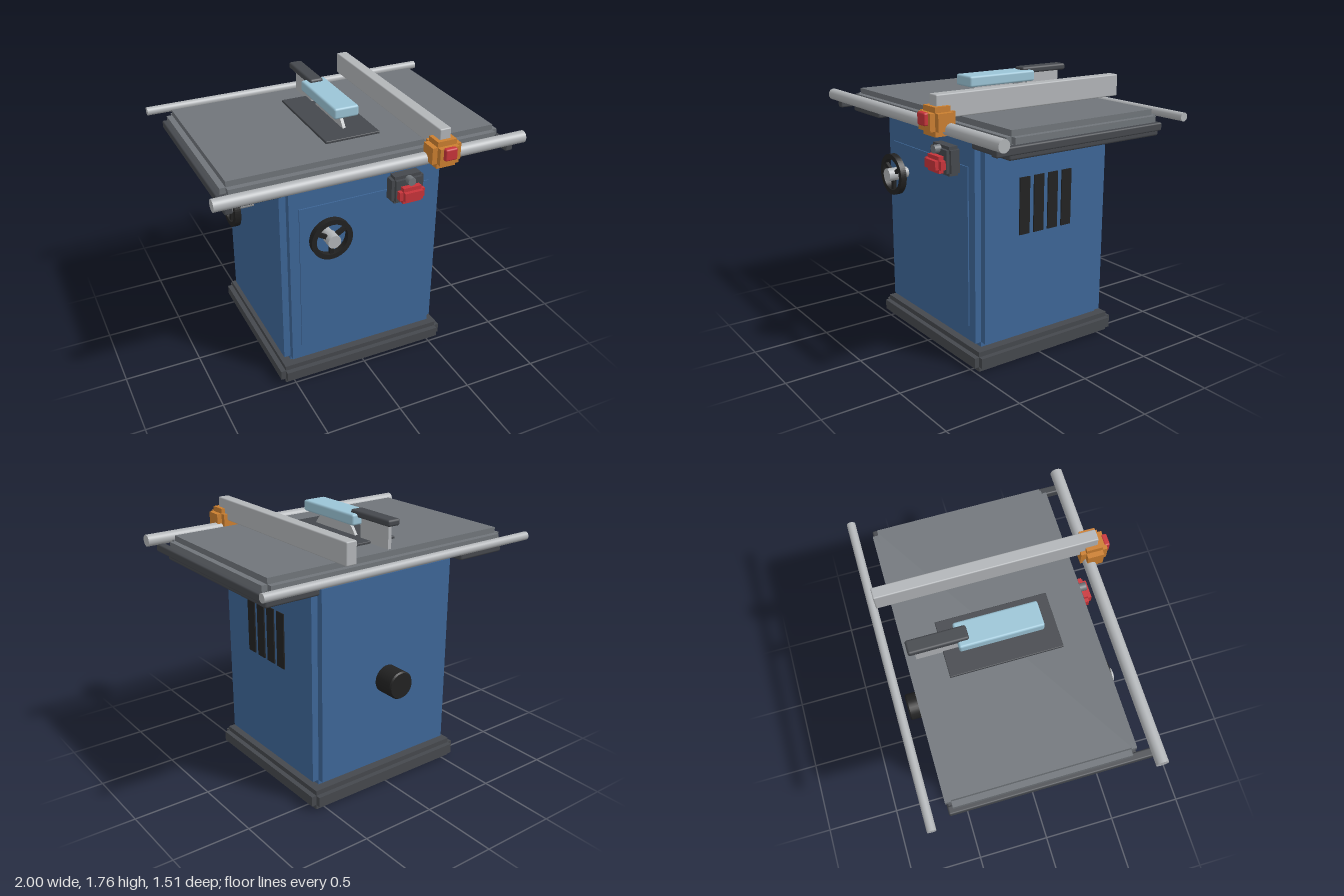
import * as THREE from 'three';
import { RoundedBoxGeometry } from 'three/addons/geometries/RoundedBoxGeometry.js';

const mat = (name, color) => {
  const m = new THREE.MeshStandardMaterial({ color });
  m.name = name;
  return m;
};

export function createModel() {
  const root = new THREE.Group();
  root.name = 'tableSaw';
  const blue = mat('cabinetBlue', 0x3d6697);
  const iron = mat('tableGrey', 0x70757a);
  const dark = mat('darkGrey', 0x45484d);
  const black = mat('black', 0x222222);
  const steel = mat('steel', 0xb2b5b8);
  const orange = mat('orange', 0xcb7f30);
  const red = mat('red', 0xc8343a);
  const clear = mat('guardBlue', 0x9bc4d6);

  const add = (name, geo, material, parent = root) => {
    const m = new THREE.Mesh(geo, material);
    m.name = name;
    parent.add(m);
    return m;
  };
  // All boxes are given by their limits on x, y and z
  const box = (name, material, [x0, x1], [y0, y1], [z0, z1], r = 0) => {
    const s = [x1 - x0, y1 - y0, z1 - z0];
    const geo = r ? new RoundedBoxGeometry(...s, 2, r) : new THREE.BoxGeometry(...s);
    const m = add(name, geo, material);
    m.position.set((x0 + x1) / 2, (y0 + y1) / 2, (z0 + z1) / 2);
    return m;
  };
  // Box with stepped edges: three boxes, each full length along one axis
  const stepped = (name, material, xs, ys, zs, b) => {
    const g = new THREE.Group();
    g.name = name;
    for (let axis = 0; axis < 3; axis++) {
      const lim = [xs, ys, zs].map(([a, c], i) => (i === axis ? [a, c] : [a + b, c - b]));
      g.add(box(name + 'Block', material, ...lim));
    }
    root.add(g);
  };
  // Cylinder along x or z
  const rod = (name, material, r, length, axis, pos, parent = root) => {
    const geo = new THREE.CylinderGeometry(r, r, length, 32);
    if (axis === 'x') geo.rotateZ(Math.PI / 2);
    else geo.rotateX(Math.PI / 2);
    add(name, geo, material, parent).position.set(...pos);
  };

  // Base and cabinet
  stepped('base', dark, [-0.59, 0.59], [0, 0.13], [-0.61, 0.505], 0.032);
  stepped('cabinet', blue, [-0.543, 0.543], [0.12, 1.465], [-0.565, 0.46], 0.043);
  box('door', blue, [-0.437, 0.437], [0.26, 1.275], [0.44, 0.468]);
  for (let i = 0; i < 4; i++) {
    const z = 0.126 - i * 0.109;
    box('vent', black, [0.535, 0.551], [0.825, 1.187], [z - 0.038, z + 0.038]);
  }

  // Dust port at the back, with a softened rim
  const portProfile = [[0, 0], [0.09, 0], [0.09, 0.135], [0.083, 0.145], [0, 0.145]];
  const port = add('dustPort', new THREE.LatheGeometry(
    portProfile.flatMap(([r, y]) => [new THREE.Vector2(r, y), new THREE.Vector2(r, y)]), 32), black);
  port.rotation.x = -Math.PI / 2;
  port.position.set(0, 0.735, -0.56);

  // Table, wing supports and rail brackets
  stepped('table', iron, [-0.907, 0.907], [1.46, 1.57], [-0.62, 0.51], 0.036);
  for (const s of [-1, 1]) {
    const side = (a, b) => (s > 0 ? [a, b] : [-b, -a]);
    box('wingSupport', dark, side(0.545, 0.908), [1.41, 1.462], [-0.615, 0.515], 0.014);
    box('railBracket', dark, side(0.882, 0.933), [1.445, 1.495], [-0.615, 0.62], 0.01);
  }
  rod('frontRail', steel, 0.038, 2, 'x', [0, 1.525, 0.618]);
  rod('rearRail', steel, 0.027, 2, 'x', [0, 1.525, -0.73]);

  // Throat plate, blade, riving knife and guard
  box('throatPlate', dark, [-0.18, 0.18], [1.565, 1.585], [-0.4, 0.29], 0.004);
  rod('blade', steel, 0.24, 0.02, 'x', [0, 1.46, -0.04]);
  box('rivingKnife', steel, [-0.012, 0.012], [1.56, 1.735], [-0.56, -0.3]);
  box('bladeGuard', clear, [-0.082, 0.082], [1.668, 1.738], [-0.31, 0.2], 0.014);
  box('guardArm', dark, [-0.045, 0.045], [1.715, 1.757], [-0.6, -0.24], 0.014);

  // Fence
  box('fence', steel, [0.363, 0.438], [1.58, 1.72], [-0.71, 0.675], 0.008);
  stepped('fenceHead', orange, [0.305, 0.497], [1.485, 1.655], [0.565, 0.733], 0.033);
  box('fenceLock', red, [0.36, 0.441], [1.55, 1.625], [0.72, 0.757], 0.01);

  // Power switch
  stepped('switchBox', dark, [0.142, 0.36], [1.205, 1.385], [0.45, 0.55], 0.02);
  stepped('stopPaddle', red, [0.168, 0.338], [1.225, 1.328], [0.53, 0.612], 0.024);
  rod('switchKnob', iron, 0.026, 0.045, 'z', [0.25, 1.362, 0.563]);

  // Handwheel facing +z, with its shaft starting at z = 0
  const handwheel = (name) => {
    const g = new THREE.Group();
    g.name = name;
    const ring = new THREE.Shape().absarc(0, 0, 0.134, 0, Math.PI * 2);
    ring.holes.push(new THREE.Path().absarc(0, 0, 0.102, 0, Math.PI * 2, true));
    add('wheelRim', new THREE.ExtrudeGeometry(ring, { depth: 0.04, bevelEnabled: false, curveSegments: 32 }),
      black, g).position.z = 0.085;
    for (let i = 0; i < 3; i++) {
      const spoke = new THREE.BoxGeometry(0.11, 0.026, 0.022);
      spoke.translate(0.055, 0, 0.105);
      add('wheelSpoke', spoke, black, g).rotation.z = Math.PI / 6 + i * Math.PI * 2 / 3;
    }
    rod('wheelShaft', steel, 0.034, 0.12, 'z', [0, 0, 0.05], g);
    rod('wheelHub', steel, 0.042, 0.075, 'z', [0, 0, 0.1175], g);
    root.add(g);
    return g;
  };
  handwheel('frontHandwheel').position.set(-0.275, 1.095, 0.46);
  const sideWheel = handwheel('sideHandwheel');
  sideWheel.rotation.y = -Math.PI / 2;
  sideWheel.position.set(-0.58, 1.095, -0.05);
  rod('sideShaft', steel, 0.034, 0.1, 'x', [-0.56, 1.095, -0.05]);

  return root;
}
